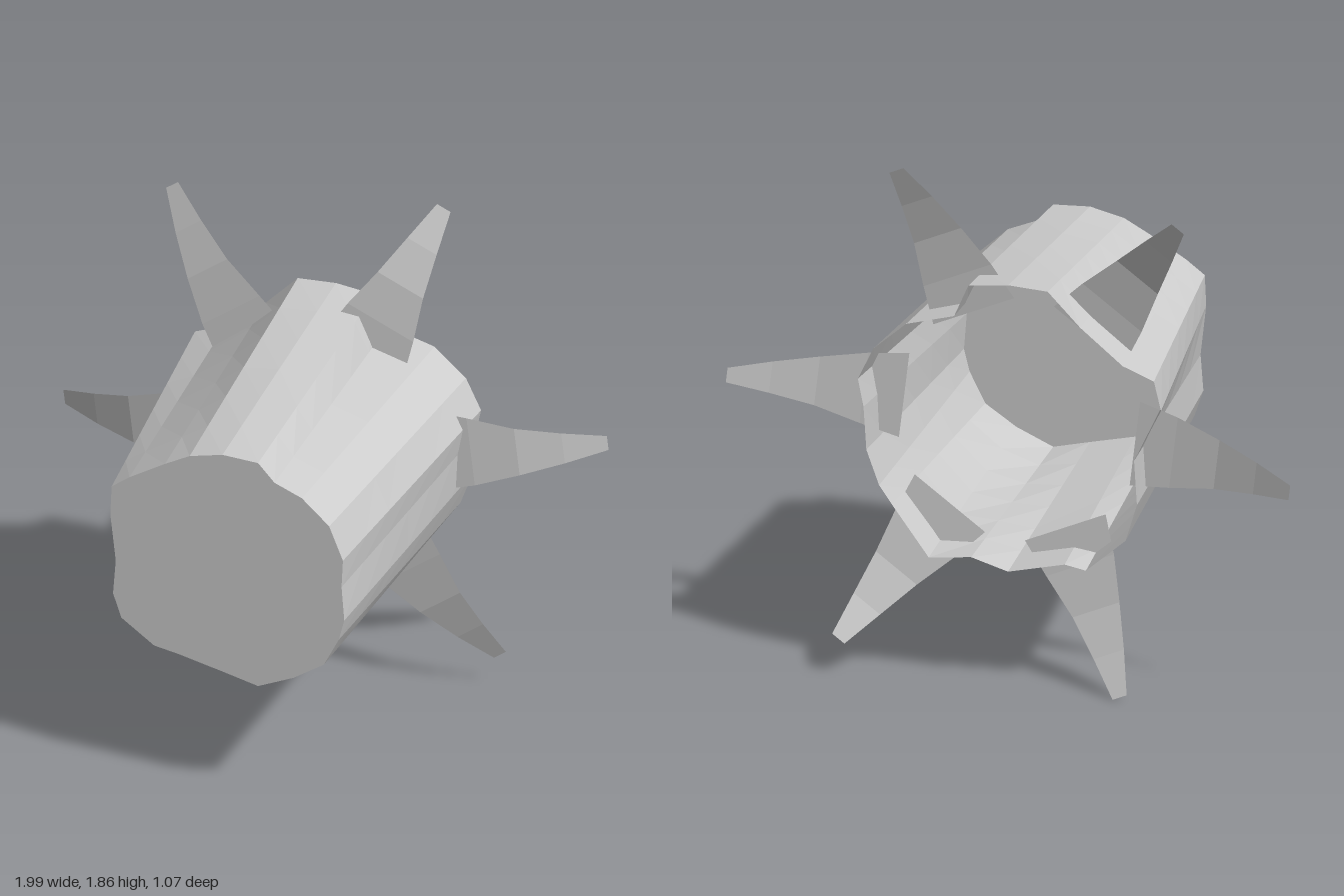
import * as THREE from 'three';

const CENTRE_Y = 0.935;
const HALF_LENGTH = 0.535;

// Matching [x, y] outlines, clockwise from the top
const frontRing = [
  [0, 1.38], [0.13, 1.375], [0.19, 1.31], [0.29, 1.27], [0.39, 1.18], [0.44, 1.055],
  [0.435, 0.95], [0.445, 0.82], [0.425, 0.74], [0.37, 0.63], [0.26, 0.555], [0.13, 0.495],
  [0, 0.525], [-0.16, 0.56], [-0.25, 0.575], [-0.37, 0.66], [-0.40, 0.75], [-0.39, 0.88],
  [-0.41, 1.06], [-0.405, 1.17], [-0.34, 1.22], [-0.21, 1.3], [-0.12, 1.35],
];
const backRing = [
  [0, 1.475], [0.14, 1.46], [0.19, 1.345], [0.36, 1.3], [0.475, 1.2], [0.53, 1.085],
  [0.51, 0.985], [0.5, 0.83], [0.455, 0.705], [0.41, 0.64], [0.28, 0.46], [0.13, 0.475],
  [0, 0.435], [-0.2, 0.48], [-0.275, 0.465], [-0.415, 0.587], [-0.455, 0.72], [-0.445, 0.88],
  [-0.54, 1.07], [-0.515, 1.175], [-0.405, 1.22], [-0.255, 1.345], [-0.14, 1.465],
];

// Join equal-sized rows of points into a sheet
function loft(rows, closed) {
  const n = rows[0].length;
  const index = [];
  for (let r = 0; r < rows.length - 1; r++) {
    for (let i = 0; i < (closed ? n : n - 1); i++) {
      const a = r * n + i, b = r * n + (i + 1) % n;
      index.push(a, a + n, b, b, a + n, b + n);
    }
  }
  const geometry = new THREE.BufferGeometry();
  geometry.setAttribute('position', new THREE.Float32BufferAttribute(rows.flat(2), 3));
  geometry.setIndex(index);
  geometry.computeVertexNormals();
  return geometry;
}

export function createModel() {
  const model = new THREE.Group();
  model.name = 'spikedCup';
  const grey = new THREE.MeshStandardMaterial({ color: 0xcccccc, side: THREE.DoubleSide, flatShading: true });
  grey.name = 'light grey';

  const add = (name, geometry) => {
    const mesh = new THREE.Mesh(geometry, grey);
    mesh.name = name;
    model.add(mesh);
    return mesh;
  };

  // Irregular tapered wall, open at the back
  const rows = [];
  const steps = 6;
  for (let s = 0; s <= steps; s++) {
    const t = s / steps;
    rows.push(frontRing.map(([x, y], i) => [
      THREE.MathUtils.lerp(x, backRing[i][0], t),
      THREE.MathUtils.lerp(y, backRing[i][1], t),
      HALF_LENGTH * (1 - 2 * t),
    ]));
  }
  add('cupWall', loft(rows, true));

  // Flat front end
  const outline = new THREE.Shape(frontRing.map(([x, y]) => new THREE.Vector2(x, y)));
  add('frontCap', new THREE.ShapeGeometry(outline)).position.z = HALF_LENGTH;

  // Six tapered spikes curling backward: [radius, half width, z]
  const sections = [
    [0.41, 0.155, -0.385], [0.55, 0.13, -0.395], [0.71, 0.09, -0.42], [0.86, 0.058, -0.472], [1, 0.027, -0.535],
  ];
  const spikeGeometry = loft(sections.map(([r, w, z]) => [[r, w, z], [r, -w, z]]), false);
  for (let i = 0; i < 6; i++) {
    const spike = add(`spike${i + 1}`, spikeGeometry);
    spike.position.y = CENTRE_Y;
    spike.rotation.z = THREE.MathUtils.degToRad(6.8 + i * 60);
  }
  return model;
}
